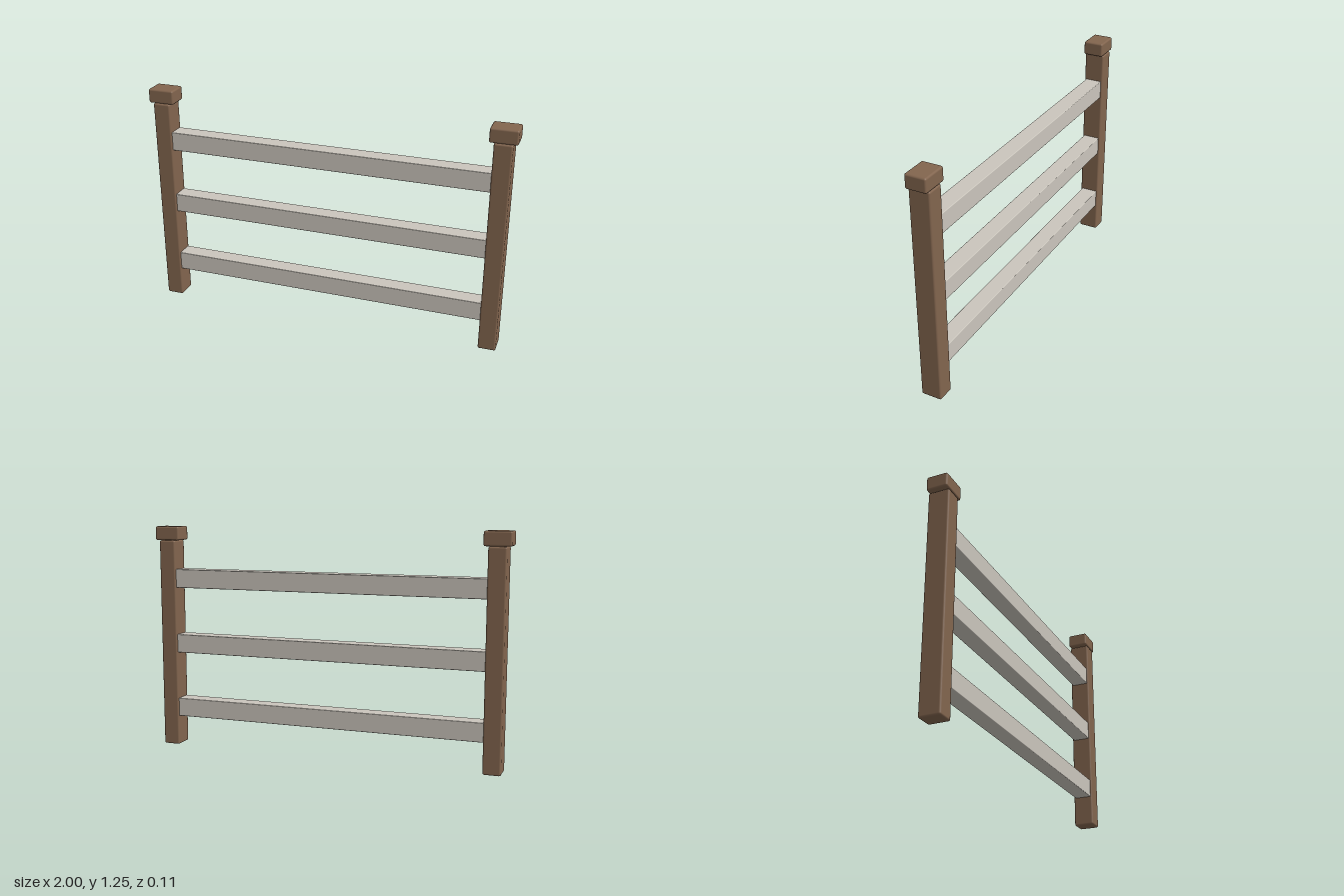
import * as THREE from 'three';
import { RoundedBoxGeometry } from 'three/addons/geometries/RoundedBoxGeometry.js';

export function createModel() {
  const fence = new THREE.Group();
  fence.name = 'fence';
  const wood = new THREE.MeshStandardMaterial({ color: 0x82654e });
  const paleWood = new THREE.MeshStandardMaterial({ color: 0xcac5bc });

  // Box with softened edges, placed by its bottom
  function block(name, w, h, d, radius, material, x, bottom) {
    const mesh = new THREE.Mesh(new RoundedBoxGeometry(w, h, d, 2, radius), material);
    mesh.name = name;
    mesh.position.set(x, bottom + h / 2, 0);
    fence.add(mesh);
  }

  // Posts with caps that overhang sideways only
  for (const [side, sign] of [['left', 1], ['right', -1]]) {
    const x = sign * 0.9275;
    block(side + 'Post', 0.096, 1.173, 0.114, 0.01, wood, x, 0);
    block(side + 'PostCap', 0.145, 0.077, 0.114, 0.01, wood, x, 1.174);
  }

  // Three rails between the posts
  ['lowerRail', 'middleRail', 'upperRail'].forEach((name, i) => {
    block(name, 1.764, 0.104, 0.094, 0.004, paleWood, 0, 0.168 + i * 0.37);
  });

  return fence;
}
